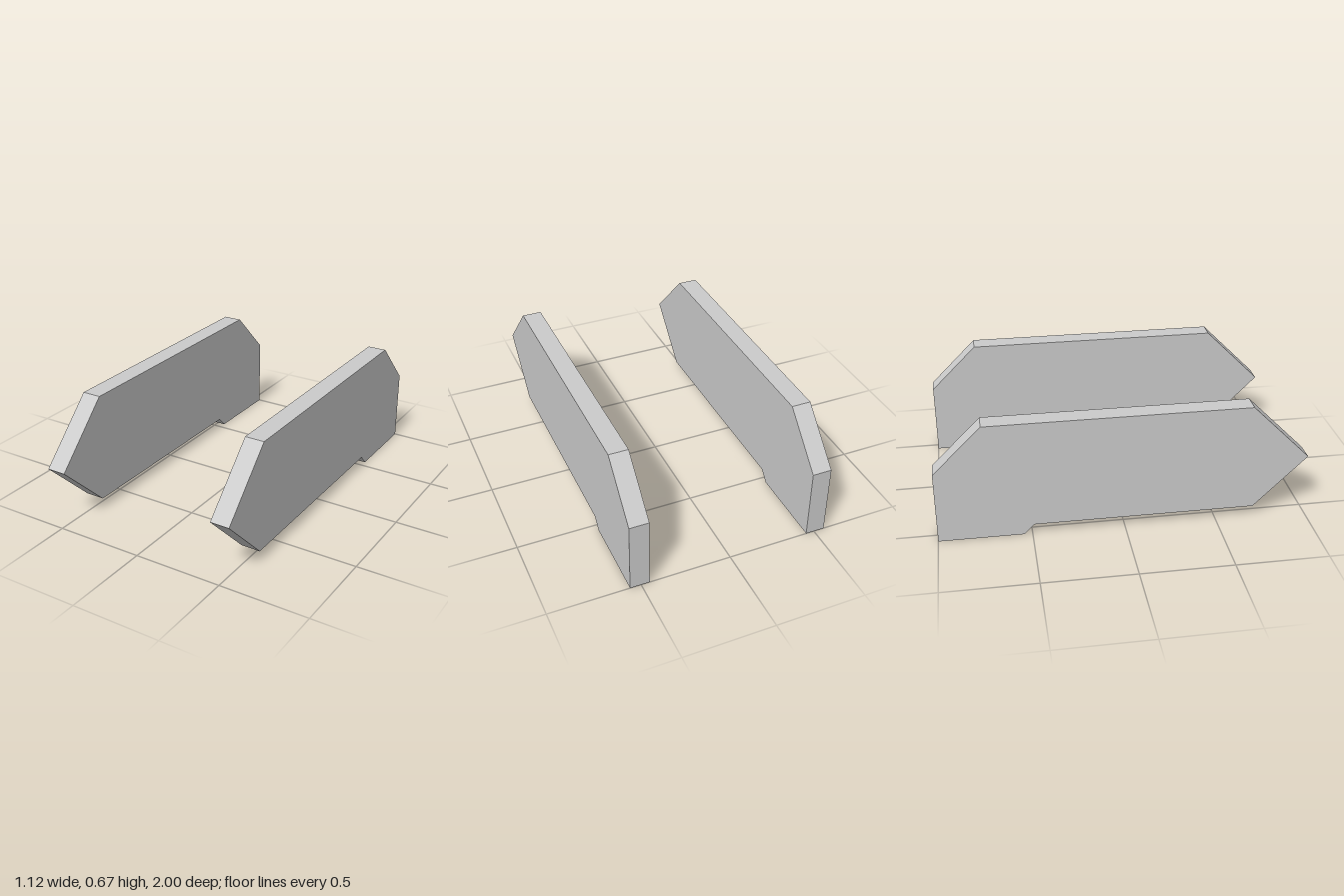
import * as THREE from 'three';

const INNER = 0.453, OUTER = 0.56;

// Side outline as (z, y) points, counter-clockwise from the rear bottom corner
const OUTLINE = [
  [-1, 0], [-0.545, 0], [-0.49, 0.057], [0.71, 0.057],
  [1, 0.345], [0.68, 0.665], [-0.74, 0.665], [-1, 0.405],
];

export function createModel() {
  const group = new THREE.Group();
  group.name = 'sidePanels';
  const material = new THREE.MeshStandardMaterial({ color: 0xcccccc, flatShading: true });

  // Flat panel, extruded across x and centred on its own thickness
  const thickness = OUTER - INNER;
  const shape = new THREE.Shape(OUTLINE.map(([z, y]) => new THREE.Vector2(z, y)));
  const geometry = new THREE.ExtrudeGeometry(shape, { depth: thickness, bevelEnabled: false });
  geometry.translate(0, 0, -thickness / 2);
  geometry.rotateY(-Math.PI / 2);

  // One panel on each side
  for (const [name, side] of [['leftPanel', 1], ['rightPanel', -1]]) {
    const panel = new THREE.Mesh(geometry, material);
    panel.name = name;
    panel.position.x = side * (INNER + OUTER) / 2;
    group.add(panel);
  }
  return group;
}
